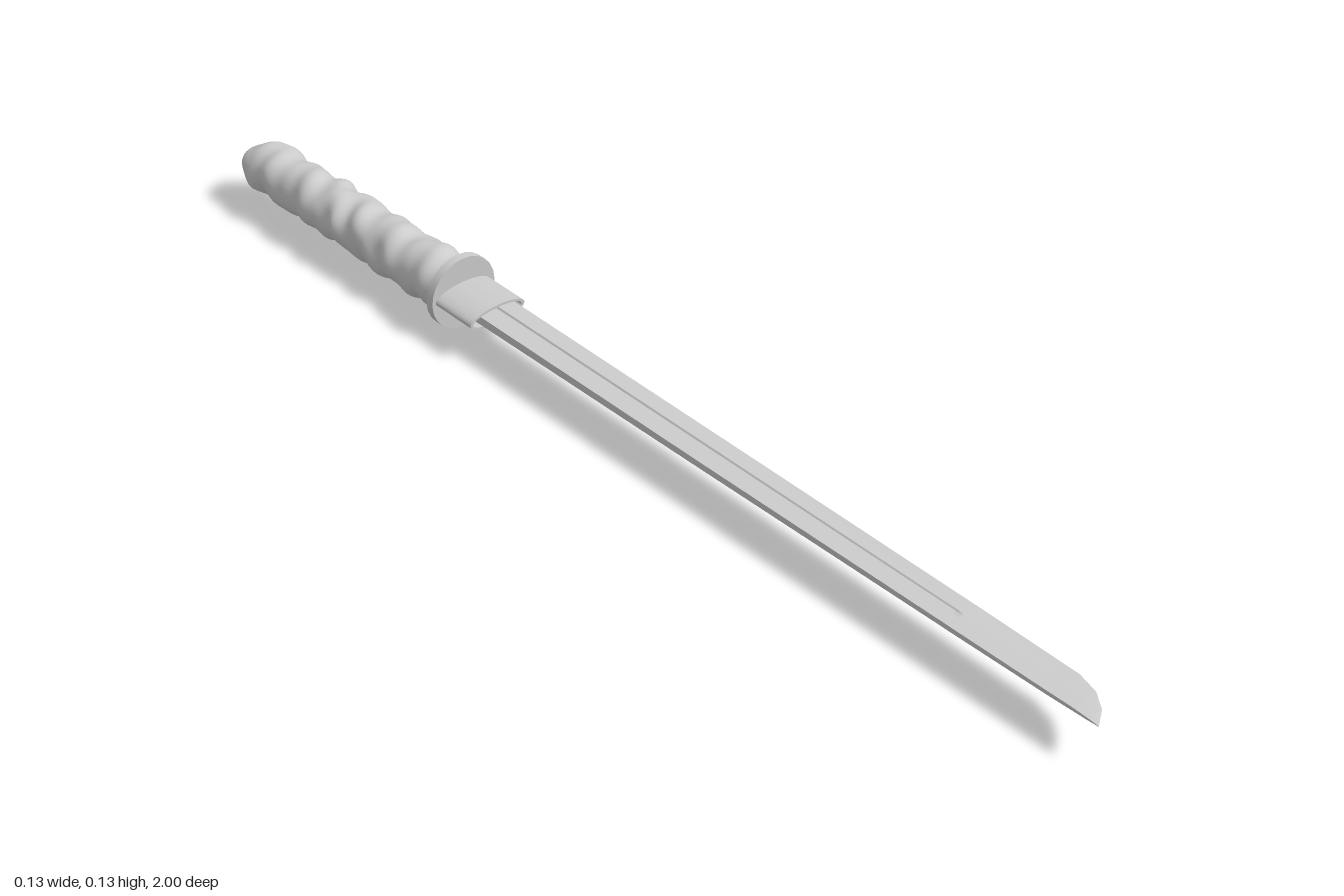
import * as THREE from 'three';

const grey = (opts = {}) => new THREE.MeshStandardMaterial({ color: 0xcccccc, ...opts });

// Joins equal-length rings of points, ordered counter-clockwise seen from +z and advancing along +z
function loft(rings, capped) {
  const n = rings[0].length, index = [];
  for (let i = 0; i < rings.length - 1; i++) {
    for (let j = 0; j < n; j++) {
      const a = i * n + j, b = i * n + (j + 1) % n;
      index.push(a, b, b + n, a, b + n, a + n);
    }
  }
  if (capped) for (let j = 1; j < n - 1; j++) index.push(0, j + 1, j);
  const geo = new THREE.BufferGeometry();
  geo.setAttribute('position', new THREE.Float32BufferAttribute(rings.flat(2), 3));
  geo.setIndex(index);
  geo.computeVertexNormals();
  return geo;
}

// Blade: wedge section, thick spine at -x, sharp edge at +x, a groove on both faces
function makeBlade() {
  // z, spine x, edge x, spine half thickness, groove depth
  const sections = [
    [-0.42, -0.037, 0.042, 0.008, 0.003],
    [0.2, -0.034, 0.040, 0.006, 0.0025],
    [0.70, -0.030, 0.038, 0.0045, 0.002],
    [0.715, -0.030, 0.038, 0.0045, 0],
    [0.91, -0.028, 0.036, 0.0035, 0],
    [0.95, -0.027, 0.025, 0.003, 0],
    [0.98, -0.027, 0.003, 0.002, 0],
    [1.0, -0.027, -0.026, 0.0005, 0],
  ];
  const rings = sections.map(([z, x0, x1, t, groove]) => {
    const at = (u, d = 0) => [x0 + (x1 - x0) * u, t * (1 - 0.65 * u) - d];
    const upper = [at(0.56), at(0.53, groove), at(0.42, groove), at(0.39), at(0)];
    const lower = upper.map(([x, y]) => [x, -y]).reverse();
    return [[x1, 0], ...upper, ...lower].map(([x, y]) => [x, y + 0.07, z]);
  });
  return new THREE.Mesh(loft(rings, true), grey({ flatShading: true, side: THREE.DoubleSide }));
}

// Grip: tapering round bar with a domed end and twisting cloth-like folds
function makeGrip() {
  const rings = [], steps = 90, around = 40;
  for (let i = 0; i <= steps; i++) {
    const s = 1 - i / steps;                        // 1 at the pommel, 0 at the guard
    const z = -0.435 - 0.565 * (1 - (1 - s) ** 1.3);
    const k = (-0.435 - z) / 0.565;
    const end = Math.max(0, (k - 0.91) / 0.09);
    const dome = Math.sqrt(Math.max(0, 1 - end * end));
    const cx = -0.002 - 0.011 * k, cy = 0.068 + 0.009 * k;
    const ring = [];
    for (let j = 0; j < around; j++) {
      const a = j / around * Math.PI * 2;
      const fold = 0.0028 * Math.sin(2 * a + k * 42 + Math.sin(a + k * 9))
        + 0.0018 * Math.sin(3 * a - k * 31 + 1.5 * Math.sin(k * 17))
        + 0.0012 * Math.sin(a + k * 75);
      const rx = 0.051 - 0.003 * k + fold, ry = 0.051 - 0.008 * k + fold;
      ring.push([cx + rx * dome * Math.cos(a), cy + ry * dome * Math.sin(a), z]);
    }
    rings.push(ring);
  }
  return new THREE.Mesh(loft(rings, false), grey());
}

// Collar: hollow oval sleeve around the blade root
function makeCollar() {
  const shape = new THREE.Shape().absellipse(0, 0, 0.057, 0.018, 0, Math.PI * 2);
  shape.holes.push(new THREE.Path().absellipse(0, 0, 0.051, 0.0135, 0, Math.PI * 2, true));
  const geo = new THREE.ExtrudeGeometry(shape, { depth: 0.1, bevelEnabled: false, curveSegments: 20 });
  geo.translate(-0.002, 0.069, -0.43);
  return new THREE.Mesh(geo, grey());
}

// Guard: flat round disc
function makeGuard() {
  const geo = new THREE.CylinderGeometry(0.066, 0.066, 0.016, 24);
  geo.rotateX(Math.PI / 2).translate(0, 0.066, -0.43);
  return new THREE.Mesh(geo, grey());
}

export function createModel() {
  const model = new THREE.Group();
  model.name = 'sword';
  const parts = { blade: makeBlade(), collar: makeCollar(), guard: makeGuard(), grip: makeGrip() };
  for (const [name, mesh] of Object.entries(parts)) {
    mesh.name = name;
    model.add(mesh);
  }
  return model;
}
